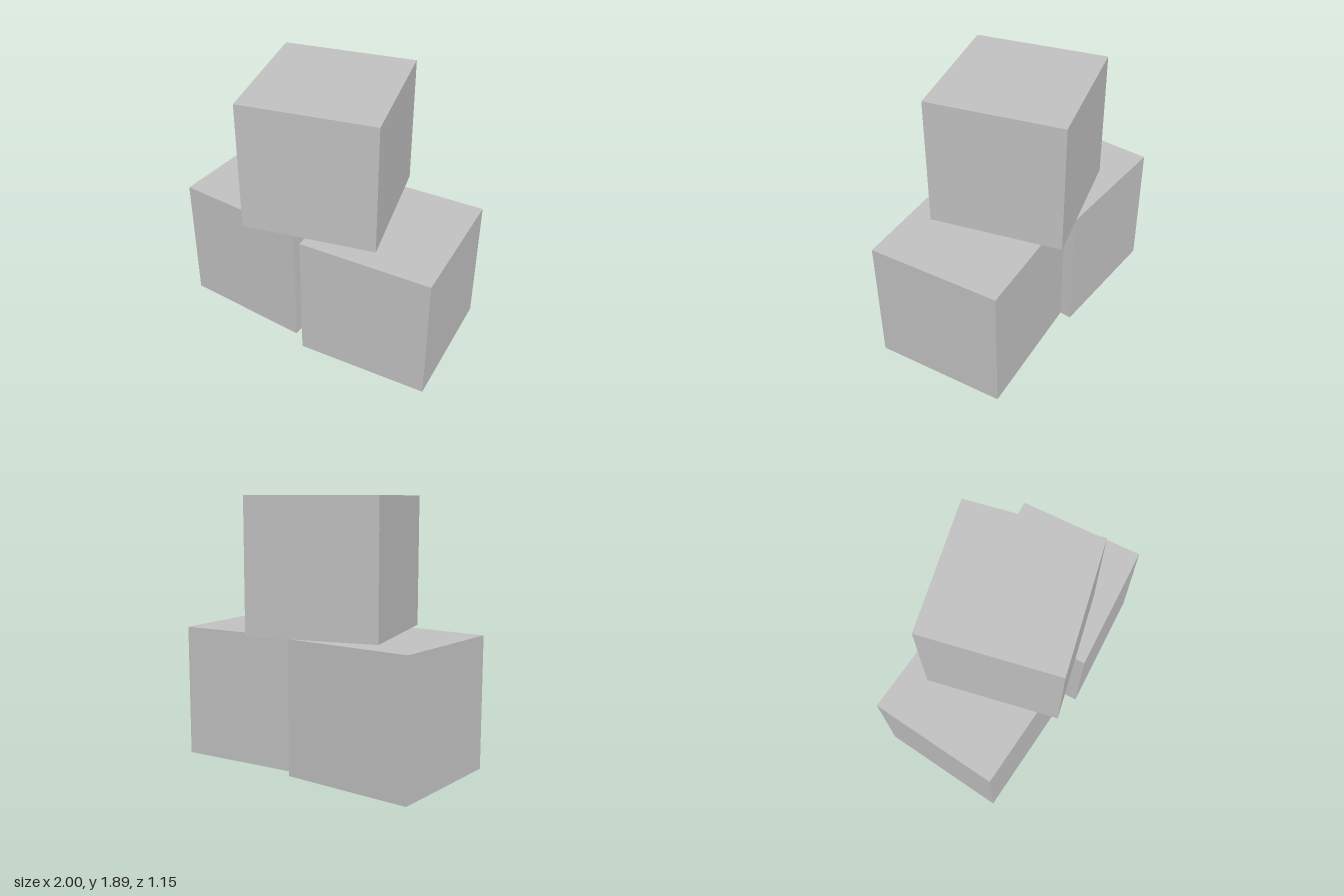
import * as THREE from 'three';

const SIZE = 0.947;

export function createModel() {
  const group = new THREE.Group();
  group.name = 'stackedBlocks';
  const grey = new THREE.MeshStandardMaterial({ color: 0xc0c0c0 });
  grey.name = 'plain grey';
  const cube = new THREE.BoxGeometry(SIZE, SIZE, SIZE);

  // One cube standing on the given level, turned about its upright axis
  function addBlock(name, x, level, z, degrees) {
    const block = new THREE.Mesh(cube, grey);
    block.name = name;
    block.position.set(x, (level + 0.5) * SIZE, z);
    block.rotation.y = THREE.MathUtils.degToRad(degrees);
    group.add(block);
  }

  // Two blocks side by side, a third resting across them
  addBlock('lowerRightBlock', -0.503, 0, -0.049, -3);
  addBlock('lowerLeftBlock', 0.493, 0, 0.028, 4);
  addBlock('topBlock', -0.043, 1, -0.002, 14);

  return group;
}
